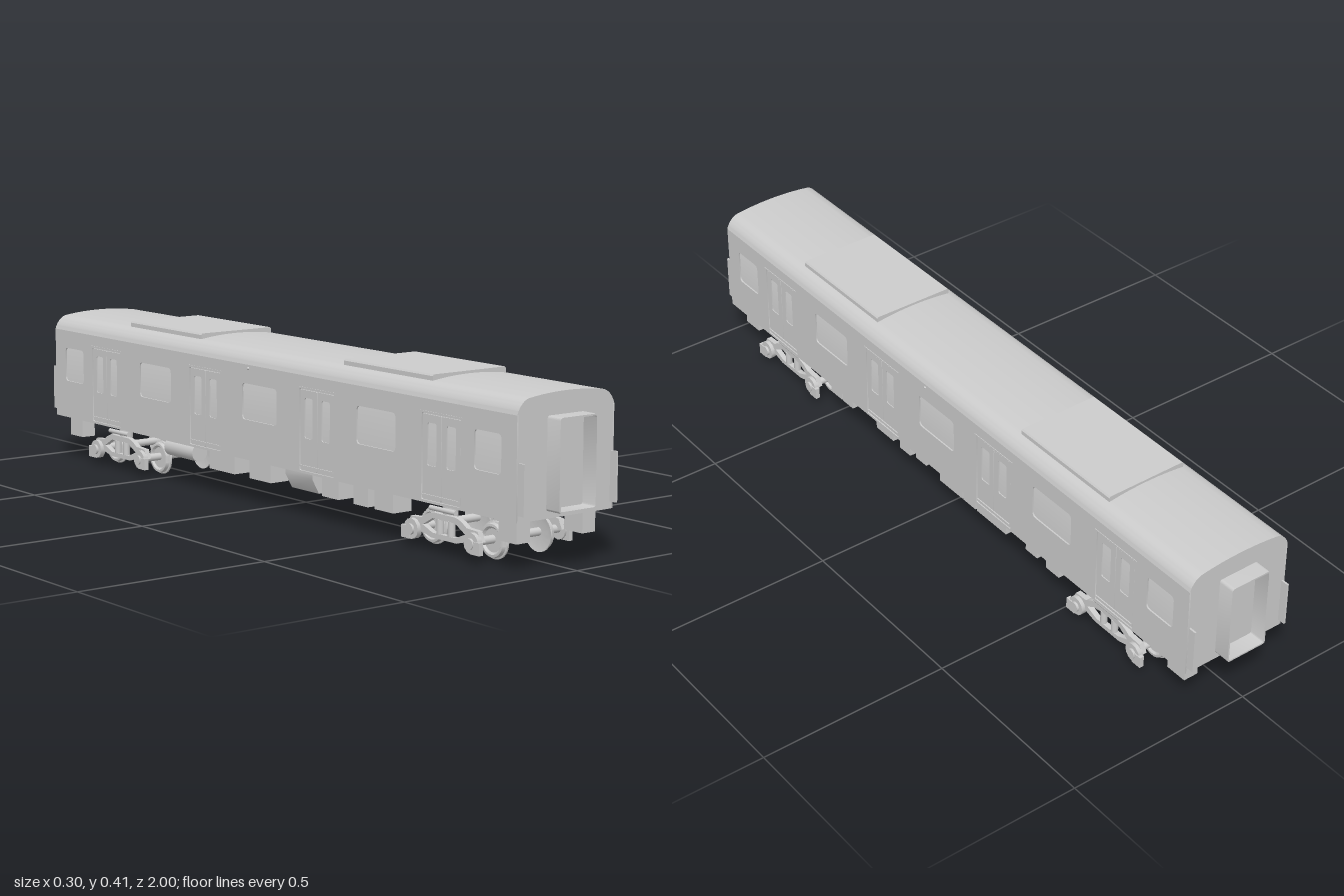
import * as THREE from 'three';
import { toCreasedNormals } from 'three/addons/utils/BufferGeometryUtils.js';

const material = new THREE.MeshStandardMaterial({ color: 0xcccccc });

function add(parent, name, geometry, x = 0, y = 0, z = 0) {
  const mesh = new THREE.Mesh(geometry, material);
  mesh.name = name;
  mesh.position.set(x, y, z);
  parent.add(mesh);
  return mesh;
}

const box = (w, h, d) => new THREE.BoxGeometry(w, h, d);

// Cylinder lying along x (rTop ends up at the -x end)
const rodX = (rTop, rBottom, length, sides = 20) =>
  new THREE.CylinderGeometry(rTop, rBottom, length, sides).rotateZ(Math.PI / 2);

function roundedRect(path, u0, u1, v0, v1, r) {
  path.moveTo(u0 + r, v0);
  path.lineTo(u1 - r, v0);
  path.quadraticCurveTo(u1, v0, u1, v0 + r);
  path.lineTo(u1, v1 - r);
  path.quadraticCurveTo(u1, v1, u1 - r, v1);
  path.lineTo(u0 + r, v1);
  path.quadraticCurveTo(u0, v1, u0, v1 - r);
  path.lineTo(u0, v0 + r);
  path.quadraticCurveTo(u0, v0, u0 + r, v0);
  return path;
}

// Extrude a section drawn in (x, y) along z, centred on z = 0
function extrudeZ(shape, depth, segments = 8) {
  const g = new THREE.ExtrudeGeometry(shape, { depth, bevelEnabled: false, curveSegments: segments });
  return toCreasedNormals(g.translate(0, 0, -depth / 2), 0.5);
}

// Extrude an elevation drawn in (length, y) towards +x
function extrudeX(shape, depth) {
  const g = new THREE.ExtrudeGeometry(shape, { depth, bevelEnabled: false, curveSegments: 6 });
  return toCreasedNormals(g.rotateY(Math.PI / 2), 0.5);
}

// Core of the body with the curved roof
function bodyCore() {
  const s = new THREE.Shape();
  s.moveTo(-0.143, 0.118);
  s.lineTo(0.143, 0.118);
  s.lineTo(0.143, 0.36);
  s.lineTo(0.147, 0.36);
  s.bezierCurveTo(0.142, 0.376, 0.13, 0.391, 0.115, 0.395);
  s.quadraticCurveTo(0.06, 0.4035, 0, 0.4035);
  s.quadraticCurveTo(-0.06, 0.4035, -0.115, 0.395);
  s.bezierCurveTo(-0.13, 0.391, -0.142, 0.376, -0.147, 0.36);
  s.lineTo(-0.143, 0.36);
  return extrudeZ(s, 1.914, 10);
}

const DOORS = [-0.7, -0.235, 0.235, 0.7];
const WINDOWS = [[-0.86, 0.046], [-0.463, 0.073], [0, 0.073], [0.463, 0.073], [0.86, 0.046]];

// One side of the body, facing +x
function bodySide() {
  const side = new THREE.Group();
  side.name = 'bodySide';
  const wall = roundedRect(new THREE.Shape(), -0.957, 0.957, 0.118, 0.36, 0.001);
  for (const [c, h] of WINDOWS) wall.holes.push(roundedRect(new THREE.Path(), c - h, c + h, 0.22, 0.312, 0.012));
  for (const c of DOORS) wall.holes.push(roundedRect(new THREE.Path(), c - 0.069, c + 0.069, 0.124, 0.326, 0.004));
  add(side, 'sideWall', extrudeX(wall, 0.004), 0.143);

  for (const c of DOORS) {
    for (const s of [-1, 1]) {
      const leaf = roundedRect(new THREE.Shape(), -0.033, 0.033, 0.126, 0.324, 0.003);
      leaf.holes.push(roundedRect(new THREE.Path(), -0.016, 0.016, 0.205, 0.305, 0.006));
      add(side, 'doorLeaf', extrudeX(leaf, 0.0025), 0.143, 0, c + s * 0.034);
    }
    add(side, 'doorRail', box(0.002, 0.003, 0.15), 0.1475, 0.33, c);
    add(side, 'doorStep', box(0.003, 0.004, 0.13), 0.1475, 0.136, c);
  }
  add(side, 'sideLamp', new THREE.SphereGeometry(0.004, 10, 8), 0.147, 0.351, 0.045);
  return side;
}

// Side frame of a bogie: axle ends joined by an arched upper and a lower beam
function bogieFrame() {
  const s = new THREE.Shape();
  s.moveTo(-0.13, 0.05);
  s.lineTo(-0.118, 0.074);
  s.lineTo(-0.08, 0.076);
  s.quadraticCurveTo(-0.055, 0.094, -0.035, 0.094);
  s.lineTo(0.035, 0.094);
  s.quadraticCurveTo(0.055, 0.094, 0.08, 0.076);
  s.lineTo(0.118, 0.074);
  s.lineTo(0.13, 0.05);
  s.lineTo(0.085, 0.045);
  s.lineTo(0.045, 0.034);
  s.lineTo(-0.045, 0.034);
  s.lineTo(-0.085, 0.045);
  const gap = new THREE.Path();
  gap.moveTo(-0.075, 0.06);
  gap.lineTo(-0.04, 0.046);
  gap.lineTo(0.04, 0.046);
  gap.lineTo(0.075, 0.06);
  gap.lineTo(0.04, 0.08);
  gap.lineTo(-0.04, 0.08);
  s.holes.push(gap);
  return extrudeX(s, 0.014);
}

function bogie(z) {
  const g = new THREE.Group();
  g.name = 'bogie';
  g.position.z = z;
  const frame = bogieFrame();
  // Tread with a flange on the inner face
  const wheelProfile = [[0, -0.004], [0.03, -0.003], [0.045, -0.006], [0.045, -0.002],
    [0.041, 0], [0.039, 0.009], [0.033, 0.009], [0.028, 0.004], [0, 0.004]]
    .map(([r, x]) => new THREE.Vector2(r, x));
  const wheel = toCreasedNormals(new THREE.LatheGeometry(wheelProfile, 28).rotateZ(-Math.PI / 2), 0.5);

  for (const dz of [-0.106, 0.106]) {
    add(g, 'axle', rodX(0.01, 0.01, 0.26), 0, 0.048, dz);
    for (const s of [-1, 1]) {
      add(g, 'wheel', wheel, s * 0.07, 0.045, dz).rotation.y = s > 0 ? 0 : Math.PI;
      add(g, 'axleBox', rodX(0.025, 0.025, 0.014, 12), s * 0.134, 0.046, dz);
      add(g, 'axleCap', rodX(0.013, 0.013, 0.008), s * 0.143, 0.045, dz);
      add(g, 'axleBoxFoot', box(0.012, 0.03, 0.03), s * 0.138, 0.037, dz * 1.16);
    }
  }
  for (const s of [-1, 1]) {
    add(g, 'sideFrame', frame, s > 0 ? 0.117 : -0.131);
    add(g, 'airSpring', new THREE.CylinderGeometry(0.018, 0.018, 0.03, 16), s * 0.11, 0.104, 0);
    for (const dz of [-0.02, 0.02])
      add(g, 'coilSpring', new THREE.CylinderGeometry(0.009, 0.009, 0.036, 12), s * 0.124, 0.063, dz);
    const damper = new THREE.CylinderGeometry(0.006, 0.006, 0.09, 12).rotateX(Math.PI / 2);
    add(g, 'damper', damper, s * 0.133, 0.105, 0);
  }
  return g;
}

// Equipment hung below the floor; each entry is [z from, z to, bottom y]
function underfloor(parent) {
  const row = (sign, list) => {
    for (const [a, b, low] of list)
      add(parent, 'equipmentBox', box(0.056, 0.119 - low, b - a), sign * 0.095, (0.119 + low) / 2, (a + b) / 2);
  };
  row(1, [[0.46, 0.51, 0.065], [0.41, 0.455, 0.065], [0.225, 0.3, 0.068], [0.15, 0.195, 0.065],
    [0.08, 0.125, 0.075], [-0.075, 0.02, 0.065], [-0.13, -0.08, 0.065], [-0.255, -0.135, 0.065],
    [-0.38, -0.335, 0.07], [-0.465, -0.415, 0.065]]);
  row(-1, [[0.43, 0.5, 0.065], [0.35, 0.405, 0.065], [0.225, 0.29, 0.065], [-0.075, 0.015, 0.065],
    [-0.25, -0.14, 0.065]]);

  // Chamfered tank and an air reservoir on the right
  const tank = new THREE.Shape([[-0.125, 0.119], [-0.125, 0.1], [-0.105, 0.063], [-0.08, 0.063], [-0.065, 0.085], [-0.065, 0.119]]
    .map(([x, y]) => new THREE.Vector2(x, y)));
  add(parent, 'tank', extrudeZ(tank, 0.11), 0, 0, 0.135);
  add(parent, 'airReservoir', new THREE.CylinderGeometry(0.024, 0.024, 0.13, 20).rotateX(Math.PI / 2), -0.095, 0.091, -0.4);
  for (const z of [-0.44, -0.36]) add(parent, 'reservoirStrap', box(0.012, 0.02, 0.012), -0.095, 0.11, z);

  for (const x of [-0.1, 0.1])
    for (const z of [-0.897, 0.9]) add(parent, 'endBox', box(0.04, 0.056, 0.06), x, 0.091, z);
}

// Open gangway hood and edge guards of one end, facing +z
function bodyEnd() {
  const end = new THREE.Group();
  end.name = 'bodyEnd';
  const hood = roundedRect(new THREE.Shape(), -0.057, 0.057, 0.135, 0.351, 0.008);
  hood.holes.push(roundedRect(new THREE.Path(), -0.053, 0.053, 0.139, 0.347, 0.006));
  add(end, 'gangwayHood', extrudeZ(hood, 0.046), 0, 0, 0.977);
  for (const s of [-1, 1]) add(end, 'edgeGuard', box(0.005, 0.118, 0.022), s * 0.14, 0.194, 0.966);
  return end;
}

export function createModel() {
  const car = new THREE.Group();
  car.name = 'railwayCarriage';
  add(car, 'bodyCore', bodyCore());

  for (const turn of [0, Math.PI]) {
    const side = bodySide(), end = bodyEnd();
    side.rotation.y = end.rotation.y = turn;
    car.add(side, end);
  }

  // Flat roof units
  const unit = new THREE.Shape([[-0.112, 0.392], [0.112, 0.392], [0.112, 0.406], [0.109, 0.41], [-0.109, 0.41], [-0.112, 0.406]]
    .map(([x, y]) => new THREE.Vector2(x, y)));
  for (const z of [-0.465, 0.463]) add(car, 'roofUnit', extrudeZ(unit, 0.33), 0, 0, z);

  underfloor(car);
  car.add(bogie(0.693), bogie(-0.66));
  return car;
}
